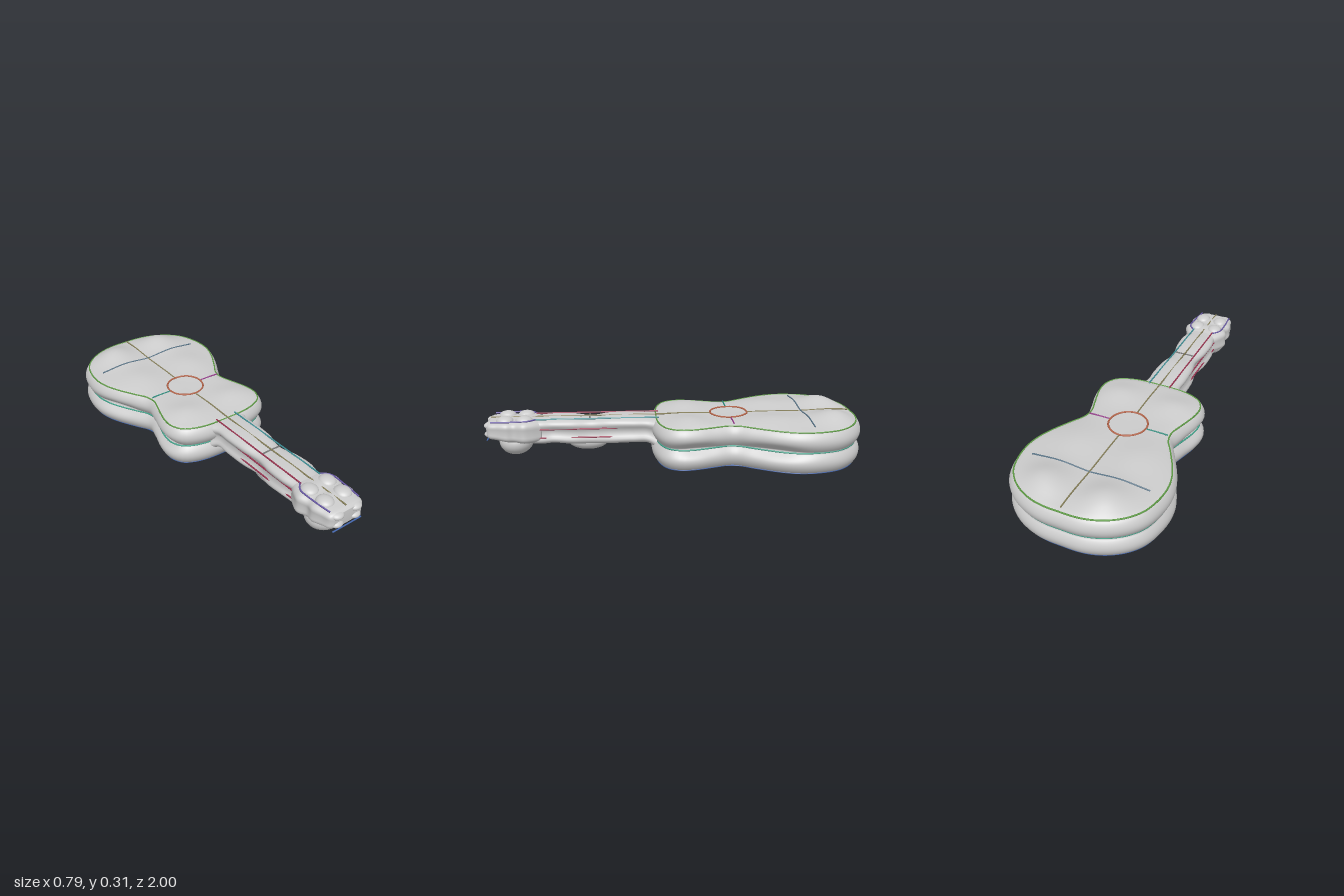
import * as THREE from 'three';

const grey = new THREE.MeshStandardMaterial({ color: 0xcccccc, side: THREE.DoubleSide });
const V = (x, y, z) => new THREE.Vector3(x, y, z);
const gauss = (d, s) => Math.exp(-((d / s) ** 2));

// Skin a list of closed rings that all have the same number of points
function loft(rings) {
  const n = rings[0].length, index = [];
  for (let i = 0; i < rings.length - 1; i++) {
    for (let j = 0; j < n; j++) {
      const a = i * n + j, b = i * n + (j + 1) % n;
      index.push(a, a + n, b, b, a + n, b + n);
    }
  }
  const g = new THREE.BufferGeometry().setFromPoints(rings.flat());
  g.setIndex(index);
  g.computeVertexNormals();
  return g;
}

// Plan outline of the body as a closed curve in x and z
const half = [[0, -0.975], [0.12, -0.968], [0.24, -0.92], [0.33, -0.83], [0.368, -0.7],
  [0.365, -0.6], [0.33, -0.5], [0.27, -0.39], [0.225, -0.3], [0.245, -0.2], [0.275, -0.1],
  [0.28, -0.02], [0.245, 0.045], [0.15, 0.085], [0, 0.095]];
const outline = new THREE.CatmullRomCurve3([
  ...half.map(([x, z]) => V(x, 0, z)),
  ...half.slice(1, -1).reverse().map(([x, z]) => V(-x, 0, z))], true);
const N = 144, TOP = 0.265, BOTTOM = 0.05, MID_Z = -0.45;
const plan = Array.from({ length: N }, (_, j) => {
  const p = outline.getPointAt(j / N), t = outline.getTangentAt(j / N);
  return { p, n: V(t.z, 0, -t.x) };
});

// Pillowed swelling of the plates between the centre line and cross lines
function swell(x, z) {
  const gx = gauss(Math.abs(x) - 0.16, 0.12);
  return gx * (0.052 * gauss(z + 0.86, 0.13) + 0.018 * gauss(z + 0.52, 0.15) + 0.022 * gauss(z + 0.06, 0.1));
}
const topY = (x, z) => TOP + 0.005 + swell(x, z);
const bottomY = (x, z) => BOTTOM - 0.003 - swell(x, z) * (z < -0.3 ? 1.05 : 0.2);

function bodyGeometry() {
  const rings = [], steps = 20, sides = 28;
  const plate = (s, top) => plan.map(({ p }) => {
    const x = p.x * s, z = MID_Z + (p.z - MID_Z) * s, fall = 1 - s ** 8;
    const base = top ? TOP : BOTTOM;
    return V(x, base + ((top ? topY(x, z) : bottomY(x, z)) - base) * fall, z);
  });
  for (let i = 0; i <= steps; i++) rings.push(plate(Math.max(0.001, i / steps), false));
  // Side wall: two rounded rolls with a groove between them
  for (let i = 1; i < sides; i++) {
    const u = i / sides, roll = 0.026 * Math.abs(Math.sin(2 * Math.PI * u)) ** 0.8;
    rings.push(plan.map(({ p, n }) => {
      const dent = (gauss(p.z + 0.5, 0.13) + gauss(p.z + 0.08, 0.11)) * 0.025 * gauss(u - 0.5, 0.17);
      const d = roll - dent;
      return V(p.x + n.x * d, BOTTOM + (TOP - BOTTOM) * u, p.z + n.z * d);
    }));
  }
  for (let i = steps; i >= 0; i--) rings.push(plate(Math.max(0.001, i / steps), true));
  return loft(rings);
}

// Bar along z from rows of [z, half width, bottom y, top y], grooved on its sides
function bar(rows, groove) {
  const curve = new THREE.CatmullRomCurve3(rows.map(([z, w]) => V(z, w, 0)));
  const heights = new THREE.CatmullRomCurve3(rows.map(([z, , b, t]) => V(z, b, t)));
  const rings = [], steps = 60, m = 48;
  const ring = (t, k) => {
    const { x: z, y: w } = curve.getPoint(t), { y: b, z: h } = heights.getPoint(t);
    return Array.from({ length: m }, (_, j) => {
      const a = -2 * Math.PI * j / m, c = Math.cos(a), s = Math.sin(a);
      const sx = Math.sign(c) * Math.abs(c) ** 0.55, sy = Math.sign(s) * Math.abs(s) ** 0.55;
      return V(sx * w * k * (1 - groove * gauss(sy, 0.4)), (b + h) / 2 + sy * k * (h - b) / 2, z);
    });
  };
  rings.push(ring(0, 0.001));
  for (let i = 0; i <= steps; i++) rings.push(ring(i / steps, 1));
  rings.push(ring(1, 0.001));
  return loft(rings);
}

export function createModel() {
  const model = new THREE.Group();
  const add = (name, geometry, material = grey) => {
    const mesh = new THREE.Mesh(geometry, material);
    mesh.name = name;
    model.add(mesh);
    return mesh;
  };
  const lump = (name, x, y, z, rx, ry, rz) =>
    add(name, new THREE.SphereGeometry(1, 28, 18).scale(rx, ry, rz).translate(x, y, z));
  const stroke = (name, points, color, closed = false, r = 0.004) => add(name,
    new THREE.TubeGeometry(new THREE.CatmullRomCurve3(points, closed), points.length * 4, r, 6, closed),
    new THREE.MeshStandardMaterial({ color }));
  const line = (x0, z0, x1, z1, y) => Array.from({ length: 13 }, (_, i) => {
    const x = x0 + (x1 - x0) * i / 12, z = z0 + (z1 - z0) * i / 12;
    return V(x, y(x, z), z);
  });

  add('body', bodyGeometry());

  // Neck with its swollen heel and the thumb-like bump beneath
  add('neck', bar([[0.03, 0.16, 0.08, 0.262], [0.09, 0.13, 0.1, 0.265], [0.14, 0.105, 0.128, 0.268],
    [0.22, 0.107, 0.132, 0.272], [0.34, 0.1, 0.128, 0.272], [0.44, 0.08, 0.125, 0.262], [0.54, 0.1, 0.13, 0.27],
    [0.64, 0.104, 0.14, 0.272], [0.71, 0.092, 0.132, 0.268], [0.77, 0.1, 0.14, 0.268]], 0.25));
  lump('neckBump', 0, 0.135, 0.46, 0.065, 0.05, 0.11);

  // Headstock with knobbly pegs and a rounded lump underneath
  add('headstock', bar([[0.7, 0.085, 0.15, 0.262], [0.75, 0.118, 0.145, 0.272], [0.79, 0.134, 0.145, 0.276],
    [0.84, 0.118, 0.15, 0.27], [0.88, 0.128, 0.155, 0.274], [0.93, 0.116, 0.165, 0.27],
    [0.97, 0.105, 0.172, 0.265], [0.985, 0.085, 0.182, 0.255]], 0.06));
  lump('headLump', 0, 0.14, 0.845, 0.102, 0.072, 0.09);
  for (const s of [-1, 1]) {
    for (const y of [0.197, 0.243]) lump('headKnob', s * 0.055, y, 0.965, 0.036, 0.019, 0.035);
    for (const z of [0.79, 0.89]) lump('pegMound', s * 0.055, 0.265, z, 0.042, 0.025, 0.045);
  }

  // Edge strokes around the body
  const rim = (y) => plan.filter((_, j) => j % 3 === 0).map(({ p }) => V(p.x, y, p.z));
  stroke('topRim', rim(TOP), 0x5f9e45, true);
  stroke('bottomRim', rim(BOTTOM), 0x4468b0, true);
  stroke('sideBand', rim(0.157), 0x3fa58c, true);

  // Sound hole ring and lines on the plates
  const hole = Array.from({ length: 24 }, (_, i) => {
    const a = i / 24 * 2 * Math.PI, x = 0.1 * Math.cos(a), z = -0.3 + 0.1 * Math.sin(a);
    return V(x, topY(x, z) + 0.002, z);
  });
  stroke('soundHole', hole, 0xb5654a, true, 0.005);
  stroke('topCentreLine', line(0, -0.96, 0, -0.4, topY), 0x87805a);
  stroke('topCentreLine', line(0, -0.2, 0, 0.1, topY), 0x87805a);
  stroke('bridgeLine', line(-0.31, -0.7, 0.31, -0.7, topY), 0x5a7588);
  stroke('waistLine', line(-0.22, -0.3, -0.1, -0.3, topY), 0x2f8f80);
  stroke('waistLine', line(0.1, -0.3, 0.22, -0.3, topY), 0x963a8c);
  stroke('backCentreLine', line(0, -0.96, 0, 0.08, bottomY), 0x4e8a4a);
  stroke('backWaistLine', line(-0.22, -0.3, 0.22, -0.3, bottomY), 0x8c8448);
  stroke('backBridgeLine', line(-0.33, -0.7, 0.33, -0.7, bottomY), 0x5a7588);

  // Neck and headstock strokes
  for (const [s, color] of [[-1, 0x9c3350], [1, 0x3d8f96]]) {
    stroke('fretboardEdge', line(s * 0.06, 0.08, s * 0.06, 0.74, () => 0.27), color);
    for (const y of [0.175, 0.222]) stroke('neckSideLine', line(s * 0.085, 0.1, s * 0.085, 0.73, () => y), 0x9c3350);
    stroke('headEdge', [V(s * 0.06, 0.27, 0.73), V(s * 0.095, 0.272, 0.77), V(s * 0.098, 0.27, 0.86),
      V(s * 0.09, 0.268, 0.96)], 0x6a5aa8);
  }
  stroke('neckCentreLine', line(0, 0.1, 0, 0.97, () => 0.27), 0x87805a);
  stroke('neckCrossLine', line(-0.06, 0.45, 0.06, 0.45, () => 0.264), 0x777777);
  stroke('headEndLine', line(-0.09, 0.985, 0.09, 0.985, () => 0.168), 0x4468b0);
  return model;
}
